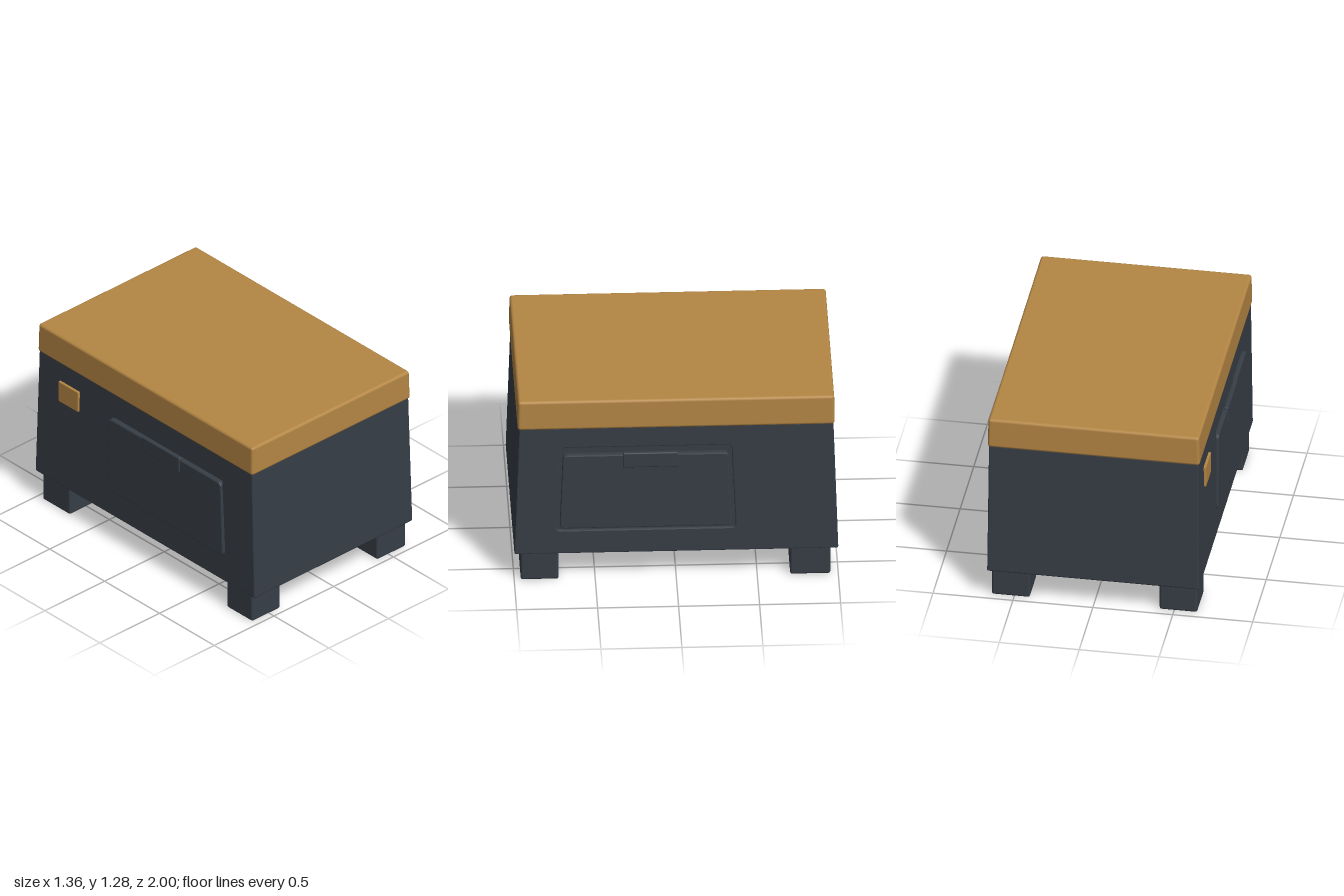
import * as THREE from 'three';
import { RoundedBoxGeometry } from 'three/addons/geometries/RoundedBoxGeometry.js';

const grey = new THREE.MeshStandardMaterial({ color: 0x373e46 });
grey.name = 'slate grey';
const ochre = new THREE.MeshStandardMaterial({ color: 0xb48644 });
ochre.name = 'ochre';

// Rounded box given by its extents on each axis
function box(name, [x0, x1], [y0, y1], [z0, z1], radius, material) {
  const g = new RoundedBoxGeometry(x1 - x0, y1 - y0, z1 - z0, 2, radius);
  g.translate((x0 + x1) / 2, (y0 + y1) / 2, (z0 + z1) / 2);
  const mesh = new THREE.Mesh(g, material);
  mesh.name = name;
  return mesh;
}

// Narrow a geometry linearly between two heights
function taper(g, y0, y1, topX, topZ) {
  const p = g.attributes.position;
  for (let i = 0; i < p.count; i++) {
    const t = (p.getY(i) - y0) / (y1 - y0);
    p.setX(i, p.getX(i) * (1 + (topX - 1) * t));
    p.setZ(i, p.getZ(i) * (1 + (topZ - 1) * t));
  }
  return g;
}

// Rounded outline through [z, y] corners, for a plate on the given side
function outline(points, side, r, Type = THREE.Shape) {
  const v = points.map(([z, y]) => new THREE.Vector2(-side * z, y));
  const s = new Type();
  v.forEach((c, i) => {
    const prev = v[(i + v.length - 1) % v.length], next = v[(i + 1) % v.length];
    const a = c.clone().add(prev.clone().sub(c).setLength(r));
    const b = c.clone().add(next.clone().sub(c).setLength(r));
    if (i === 0) s.moveTo(a.x, a.y);
    else s.lineTo(a.x, a.y);
    s.quadraticCurveTo(c.x, c.y, b.x, b.y);
  });
  s.closePath();
  return s;
}

// Bevelled plate standing on a side wall between two distances from the middle
function plate(shape, side, inner, outer, bevel) {
  const g = new THREE.ExtrudeGeometry(shape, {
    depth: outer - inner - 2 * bevel, curveSegments: 4,
    bevelThickness: bevel, bevelSize: bevel, bevelOffset: -bevel, bevelSegments: 2,
  });
  g.translate(0, 0, inner + bevel);
  return g.rotateY(side * Math.PI / 2);
}

export function createModel() {
  const model = new THREE.Group();
  const bottom = 0.195, top = 1.09, topX = 0.99, topZ = 0.97;

  // Tapered body core, its sides set in to form the floor of the recesses
  const body = box('body', [-0.645, 0.645], [bottom, top], [-1, 1], 0.012, grey);
  taper(body.geometry, bottom, top, topX, topZ);
  model.add(body);

  // Flat lid, slightly narrower at its upper face
  const lid = box('lid', [-0.664, 0.664], [1.08, 1.28], [-0.978, 0.98], 0.018, ochre);
  taper(lid.geometry, 1.08, 1.28, 0.993, 0.997);
  model.add(lid);

  const wall = [[1, bottom], [-1, bottom], [-1, top], [1, top]];
  const recess = [[0.745, 0.36], [-0.37, 0.36], [-0.35, 0.945], [0.725, 0.945]];
  const door = [[0.72, 0.378], [-0.342, 0.378], [-0.322, 0.9], [0.7, 0.9]];

  for (const side of [-1, 1]) {
    // Outer wall with the door opening
    const wallShape = outline(wall, side, 0.012);
    wallShape.holes.push(outline(recess, side, 0.03, THREE.Path));
    const wallMesh = new THREE.Mesh(
      taper(plate(wallShape, side, 0.6, 0.662, 0.008), bottom, top, topX, topZ), grey);
    wallMesh.name = 'sideWall';

    // Raised door inside the opening
    const doorMesh = new THREE.Mesh(
      plate(outline(door, side, 0.03), side, 0.62, 0.673, 0.008), grey);
    doorMesh.name = 'sideDoor';

    // Door pull
    const xs = side > 0 ? [0.65, 0.68] : [-0.68, -0.65];
    model.add(wallMesh, doorMesh,
      box('doorHandle', xs, [0.81, 0.913], [-0.01, 0.33], 0.008, grey));

    // Feet
    const footX = side > 0 ? [0.402, 0.641] : [-0.645, -0.408];
    for (const footZ of [[0.725, 0.96], [-0.952, -0.703]]) {
      model.add(box('foot', footX, [0, 0.22], footZ, 0.014, grey));
    }
  }

  // Small plate towards the rear of one side
  model.add(box('badgePlate', [-0.672, -0.645], [0.81, 0.955], [-0.78, -0.6], 0.006, ochre));

  return model;
}
